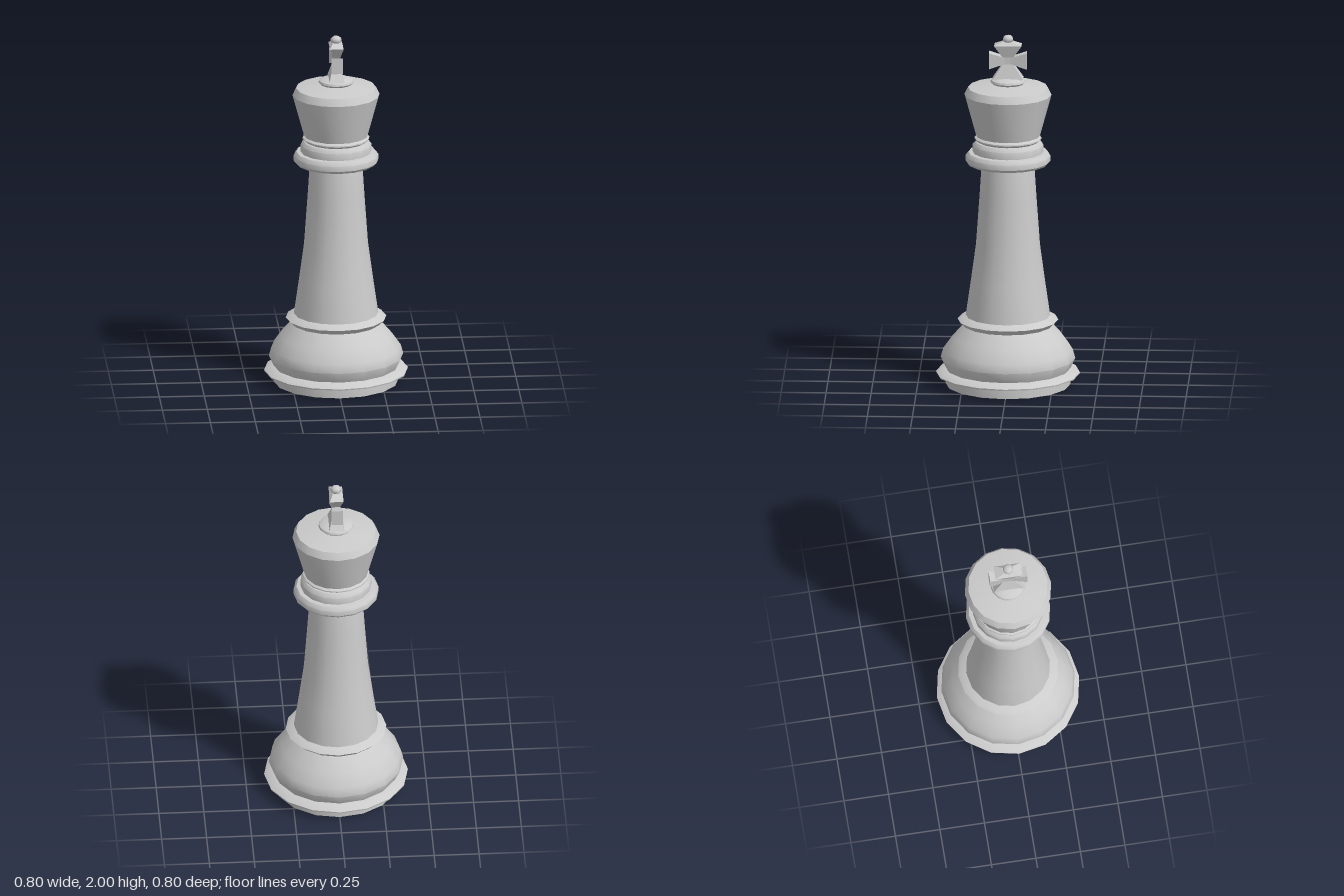
import * as THREE from 'three';
import { toCreasedNormals } from 'three/addons/utils/BufferGeometryUtils.js';

const material = new THREE.MeshStandardMaterial({ color: 0xcccccc });
const flat = new THREE.MeshStandardMaterial({ color: 0xcccccc, flatShading: true });

// Turned part from [radius, height] pairs, listed from bottom to top
function turned(name, profile) {
  const points = profile.map(([r, y]) => new THREE.Vector2(r, y));
  const geometry = toCreasedNormals(new THREE.LatheGeometry(points, 16), 0.7);
  const mesh = new THREE.Mesh(geometry, material);
  mesh.name = name;
  return mesh;
}

// Four-sided block tapering along y; sections are [halfX, halfZ, y]
function tapered(name, sections) {
  const group = new THREE.Group();
  group.name = name;
  for (let i = 0; i < sections.length - 1; i++) {
    const [a, b] = [sections[i], sections[i + 1]];
    const geometry = new THREE.BoxGeometry(2, 1, 2);
    const p = geometry.attributes.position;
    for (let k = 0; k < p.count; k++) {
      const [hx, hz, y] = p.getY(k) < 0 ? a : b;
      p.setXYZ(k, p.getX(k) * hx, y, p.getZ(k) * hz);
    }
    geometry.computeVertexNormals();
    group.add(new THREE.Mesh(geometry, flat));
  }
  return group;
}

export function createModel() {
  const model = new THREE.Group();
  model.name = 'chessKing';

  // Turned body
  model.add(
    turned('foot', [[0, 0], [0.347, 0], [0.347, 0.06], [0.398, 0.06], [0.4, 0.068], [0.372, 0.085], [0.347, 0.092]]),
    turned('base', [[0.347, 0.092], [0.374, 0.15], [0.36, 0.2], [0.31, 0.27], [0.248, 0.34]]),
    turned('baseRing', [[0.248, 0.34], [0.28, 0.37], [0.262, 0.382], [0.232, 0.395]]),
    turned('shaft', [[0.236, 0.385], [0.205, 0.6], [0.178, 0.8], [0.158, 1.08], [0.147, 1.25], [0.143, 1.275]]),
    turned('lowerCollar', [[0.13, 1.265], [0.222, 1.265], [0.236, 1.28], [0.236, 1.31], [0.22, 1.33], [0.19, 1.333]]),
    turned('upperCollar', [[0.197, 1.33], [0.197, 1.372], [0.18, 1.392], [0.168, 1.394]]),
    turned('neckRing', [[0.168, 1.393], [0.186, 1.406], [0.186, 1.413], [0.165, 1.425]]),
    turned('head', [[0.15, 1.42], [0.178, 1.425], [0.242, 1.66], [0.222, 1.7], [0.09, 1.722], [0, 1.725]]),
    turned('crossSeat', [[0.08, 1.715], [0.098, 1.733], [0.094, 1.744], [0.07, 1.755], [0, 1.758]]),
  );

  // Flared cross, its arms spread along z
  const cross = new THREE.Group();
  cross.name = 'cross';
  cross.add(
    tapered('crossPost', [[0.042, 0.086, 1.75], [0.02, 0.03, 1.835], [0.02, 0.03, 1.875],
      [0.038, 0.076, 1.943], [0.02, 0.03, 1.962]]),
  );
  for (const side of [1, -1]) {
    const arm = tapered('crossArm', [[0.02, 0.018, 0.015], [0.032, 0.046, 0.105]]);
    arm.rotation.x = side * Math.PI / 2;
    arm.position.y = 1.855;
    cross.add(arm);
  }
  model.add(cross);

  // Small ball on top
  const ball = new THREE.Mesh(new THREE.SphereGeometry(0.032, 6, 6), material);
  ball.name = 'topBall';
  ball.scale.y = 0.75;
  ball.position.y = 1.976;
  model.add(ball);

  return model;
}
